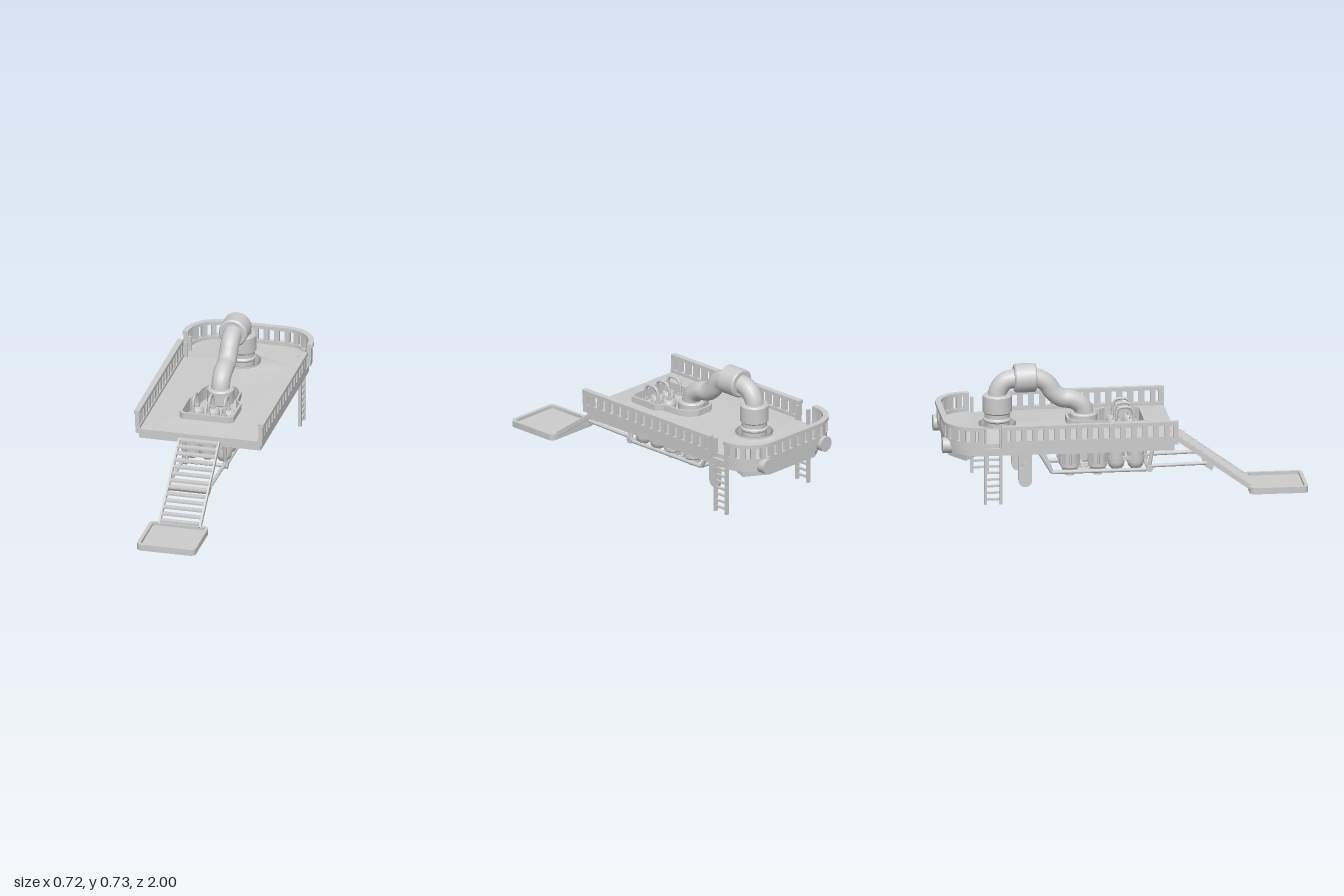
import * as THREE from 'three';
import { toCreasedNormals } from 'three/addons/utils/BufferGeometryUtils.js';

const V = (x, y, z) => new THREE.Vector3(x, y, z);
const grey = new THREE.MeshStandardMaterial({ color: 0xcccccc, side: THREE.DoubleSide });

function add(parent, name, geo, x = 0, y = 0, z = 0) {
  const m = new THREE.Mesh(geo, grey);
  m.name = name;
  m.position.set(x, y, z);
  parent.add(m);
  return m;
}
function group(parent, name) {
  const g = new THREE.Group();
  g.name = name;
  parent.add(g);
  return g;
}
const box = (p, name, w, h, d, x, y, z) => add(p, name, new THREE.BoxGeometry(w, h, d), x, y, z);
const cyl = (p, name, r, h, x, y, z, n = 20) => add(p, name, new THREE.CylinderGeometry(r, r, h, n), x, y, z);
const flat = g => toCreasedNormals(g, 0.6);
const lathe = (pts, n) => new THREE.LatheGeometry(pts.map(p => new THREE.Vector2(...p)), n);
// Thick sleeve with chamfered edges, h is half the height
const collar = (r, h) => flat(lathe([[0.02, -h], [r - 0.008, -h], [r, -h + 0.008], [r, h - 0.008], [r - 0.008, h], [0.02, h]], 20));

// Round bar, or rectangular bar when a height is given, between two points
function bar(p, name, a, b, r, height) {
  const len = a.distanceTo(b);
  const geo = height ? new THREE.BoxGeometry(r * 2, height, len) : new THREE.CylinderGeometry(r, r, len, 10).rotateX(Math.PI / 2);
  const m = add(p, name, geo);
  m.position.copy(a).lerp(b, 0.5);
  m.lookAt(b);
}
const tube = (p, name, pts, r, seg, n) =>
  add(p, name, new THREE.TubeGeometry(new THREE.CatmullRomCurve3(pts), seg, r, n));

// Horizontal plate from a plan shape drawn in (x, z), between two heights
function plateGeo(shape, y0, y1) {
  const g = new THREE.ExtrudeGeometry(shape, { depth: y1 - y0, bevelEnabled: false, curveSegments: 10 });
  g.rotateX(Math.PI / 2).translate(0, y1, 0);
  return toCreasedNormals(g, 0.5);
}

function roundedRect(S, x, z0, z1, r) {
  const s = new S();
  s.moveTo(x, z0 + r).lineTo(x, z1 - r).absarc(x - r, z1 - r, r, 0, Math.PI / 2);
  s.lineTo(-x + r, z1).absarc(-x + r, z1 - r, r, Math.PI / 2, Math.PI);
  s.lineTo(-x, z0 + r).absarc(-x + r, z0 + r, r, Math.PI, Math.PI * 1.5);
  s.lineTo(x - r, z0).absarc(x - r, z0 + r, r, Math.PI * 1.5, Math.PI * 2);
  return s;
}

// Hatch outline: wide at the tanks, narrow around the pipe; grow makes the rim
function hatchShape(S, grow) {
  const half = [[0.125, 0.115], [0.145, 0.095], [0.145, -0.075], [0.115, -0.11], [0.108, -0.215], [0.085, -0.265], [0.045, -0.295]];
  const pts = [...half, ...half.map(([x, z]) => [-x, z]).reverse()];
  return new S().setFromPoints(pts.map(([x, z]) => new THREE.Vector2(x * (1 + grow / 0.14), (z + 0.09) * (1 + grow / 0.2) - 0.09)));
}

// Deck outline with round rear corners and optional notches for the ladders
function deckShape(S, x, front, back, r, notch) {
  const s = new S();
  s.moveTo(-x, front).lineTo(x, front);
  if (notch) s.lineTo(x, -0.69).lineTo(0.32, -0.69).lineTo(0.32, -0.79).lineTo(x, -0.79);
  s.lineTo(x, back + r).absarc(x - r, back + r, r, 0, -Math.PI / 2, true);
  s.lineTo(-x + r, back).absarc(-x + r, back + r, r, -Math.PI / 2, -Math.PI, true);
  if (notch) s.lineTo(-x, -0.79).lineTo(-0.32, -0.79).lineTo(-0.32, -0.69).lineTo(-x, -0.69);
  return s;
}

// Railing along a plan path: base band, cap band and evenly spaced posts
function railing(parent, path, count) {
  const g = group(parent, 'railing');
  const N = 64;
  const at = (t, inset) => {
    const p = path.getPointAt(t), d = path.getTangentAt(t);
    return new THREE.Vector2(p.x + d.y * inset, p.y - d.x * inset);
  };
  const band = (name, y0, y1, a, b) => {
    const ts = Array.from({ length: N + 1 }, (_, i) => i / N);
    const pts = [...ts.map(t => at(t, a)), ...ts.reverse().map(t => at(t, b))];
    add(g, name, plateGeo(new THREE.Shape(pts), y0, y1));
  };
  band('railBase', 0.355, 0.395, 0.003, 0.028);
  band('railCap', 0.46, 0.48, -0.006, 0.025);
  for (let i = 0; i <= count; i++) {
    const t = Math.min(Math.max(i / count, 0.015), 0.985);
    const p = at(t, 0.0125), d = path.getTangentAt(t);
    const post = box(g, 'railPost', 0.023, 0.08, 0.029, p.x, 0.43, p.y);
    post.rotation.y = Math.atan2(d.x, d.y);
  }
}

export function createModel() {
  const root = new THREE.Group();
  root.name = 'platform';

  // Deck, rising gently to the hatch and pipe openings
  const deck = deckShape(THREE.Shape, 0.352, 0.27, -0.98, 0.18, true);
  deck.holes.push(hatchShape(THREE.Path, 0), new THREE.Path().absarc(0, -0.675, 0.1, 0, Math.PI * 2));
  const deckGeo = plateGeo(deck, 0.35, 0.375);
  const pos = deckGeo.attributes.position;
  for (let i = 0; i < pos.count; i++) {
    const x = pos.getX(i), z = pos.getZ(i);
    if (Math.abs(x) < 0.16 && z < 0.2 && z > -0.8 && pos.getY(i) > 0.36) pos.setY(i, 0.393);
  }
  add(root, 'deck', toCreasedNormals(deckGeo, 0.5));

  // Hull: floor, surrounding wall and the sloping rear skirt
  const hull = inset => S => deckShape(S, 0.34 - inset, 0.25 - inset, -0.965 + inset, 0.18 - inset, false);
  add(root, 'hullFloor', plateGeo(hull(0.005)(THREE.Shape), 0.33, 0.351));
  const wall = hull(0)(THREE.Shape);
  wall.holes.push(hull(0.02)(THREE.Path));
  add(root, 'hullWall', plateGeo(wall, 0.314, 0.352));
  const skirt = new THREE.Shape([[-0.32, -0.8], [0.32, -0.8], [0.31, -0.88], [0.18, -0.96], [-0.18, -0.96], [-0.31, -0.88]].map(p => new THREE.Vector2(...p)));
  const skirtGeo = plateGeo(skirt, 0.28, 0.335), sp = skirtGeo.attributes.position;
  for (let i = 0; i < sp.count; i++) {
    if (sp.getY(i) > 0.3) continue;
    sp.setX(i, sp.getX(i) * 0.97);
    if (sp.getZ(i) > -0.82) sp.setY(i, 0.32);
  }
  add(root, 'rearSkirt', toCreasedNormals(skirtGeo, 0.4));
  for (const s of [-1, 1]) cyl(root, 'rearBumper', 0.043, 0.05, s * 0.223, 0.35, -0.975).rotation.x = Math.PI / 2;

  // Railings: two straight sides and one around the rear
  const P = () => new THREE.Path();
  railing(root, P().moveTo(0.356, 0.27).lineTo(0.356, -0.69), 16);
  railing(root, P().moveTo(-0.356, -0.69).lineTo(-0.356, 0.27), 16);
  railing(root, P().moveTo(0.356, -0.79).lineTo(0.356, -0.805).absarc(0.176, -0.805, 0.18, 0, -Math.PI / 2, true)
    .lineTo(-0.176, -0.985).absarc(-0.176, -0.805, 0.18, -Math.PI / 2, -Math.PI, true).lineTo(-0.356, -0.79), 16);

  // Hatch rim
  const rim = hatchShape(THREE.Shape, 0.006);
  rim.holes.push(hatchShape(THREE.Path, -0.006));
  add(root, 'hatchRim', plateGeo(rim, 0.35, 0.428));

  // Big pipe with collars
  const pipe = group(root, 'bigPipe');
  tube(pipe, 'pipe', [[0.28, -0.2], [0.43, -0.2], [0.49, -0.22], [0.522, -0.27], [0.532, -0.325], [0.565, -0.37], [0.62, -0.41], [0.65, -0.47],
    [0.65, -0.57], [0.632, -0.635], [0.58, -0.672], [0.48, -0.675], [0.34, -0.675]].map(([y, z]) => V(0, y, z)), 0.051, 70, 20);
  add(pipe, 'topCollar', collar(0.079, 0.06), 0, 0.65, -0.525).rotation.x = Math.PI / 2;
  add(pipe, 'rearCollar', collar(0.079, 0.052), 0, 0.512, -0.675);
  cyl(pipe, 'rearNeck', 0.069, 0.13, 0, 0.41, -0.675);
  add(pipe, 'rearNeckRing', collar(0.077, 0.012), 0, 0.425, -0.675);
  add(pipe, 'openingRim', lathe([[0.1, -0.04], [0.103, 0.008], [0.095, 0.008], [0.093, -0.04]], 24), 0, 0.395, -0.675);
  cyl(pipe, 'underFlange', 0.085, 0.016, 0, 0.327, -0.675);
  add(pipe, 'frontCollar', collar(0.074, 0.045), 0, 0.405, -0.205);

  // Six gas tanks hanging under the hatch, valve tops and handles inside it
  const tanks = group(root, 'tanks');
  const body = [[0, 0.145], [0.025, 0.151], [0.041, 0.168], [0.046, 0.19], [0.046, 0.3], [0.038, 0.325], [0, 0.335]];
  const cap = [[0.038, 0.34], [0.038, 0.385], [0.03, 0.4], [0.014, 0.402], [0.014, 0.415], [0, 0.415]];
  for (const x of [-0.087, 0, 0.087]) {
    for (const [z, topZ] of [[0.067, 0.055], [-0.038, -0.035]]) {
      add(tanks, 'tank', lathe(body, 16), x, 0, z);
      add(tanks, 'tankTop', flat(lathe(cap, 16)), x, 0, topZ);
      for (const y of [0.215, 0.295]) cyl(tanks, 'tankBand', 0.049, 0.02, x, y, z, 16);
    }
    tube(tanks, 'tankHandle', [[0.37, 0.055], [0.46, 0.055], [0.487, 0.04], [0.487, -0.02], [0.46, -0.035], [0.37, -0.035]].map(([y, z]) => V(x, y, z)), 0.008, 30, 8);
  }
  for (const y of [0.215, 0.295]) box(tanks, 'tankStrap', 0.25, 0.018, 0.13, 0, y, 0.015);

  // Machinery barrels and ducts
  const engine = group(root, 'engine');
  for (const x of [-0.076, 0.076]) for (const z of [-0.138, -0.29]) {
    add(engine, 'barrel', collar(0.05, 0.073), x, 0.233, z);
    cyl(engine, 'barrelCore', 0.042, 0.2, x, 0.24, z);
    for (const y of [0.182, 0.255]) cyl(engine, 'barrelRing', 0.053, 0.012, x, y, z);
    for (let i = 0; i < 10; i++) {
      const a = i * Math.PI / 5;
      cyl(engine, 'barrelRib', 0.006, 0.06, x + 0.05 * Math.cos(a), 0.218, z + 0.05 * Math.sin(a), 6);
    }
    cyl(engine, 'barrelFoot', 0.025, 0.025, x, 0.134, z, 12);
  }
  box(engine, 'engineBlock', 0.07, 0.14, 0.2, 0, 0.26, -0.21);
  bar(engine, 'exhaustDuct', V(0, 0.25, -0.3), V(0, 0.3, -0.5), 0.045, 0.05);
  for (const s of [-1, 1]) bar(engine, 'sideDuct', V(s * 0.07, 0.27, -0.32), V(s * 0.07, 0.29, -0.47), 0.022);

  // Lower frame, wheel and stair braces
  const frame = group(root, 'frame');
  for (const s of [-1, 1]) {
    const x = s * 0.115, pts = [V(x, 0.34, 0.17), V(x, 0.147, 0.135), V(x, 0.147, -0.39), V(x, 0.34, -0.505)];
    for (let i = 0; i < 3; i++) bar(frame, 'frameBar', pts[i], pts[i + 1], 0.011);
    bar(frame, 'stairBrace', V(x, 0.172, 0.45), V(x, 0.166, 0.13), 0.01);
    cyl(frame, 'braceJoint', 0.018, 0.03, x, 0.152, 0.14, 12).rotation.z = Math.PI / 2;
  }
  for (const z of [0.135, -0.39]) bar(frame, 'crossBar', V(-0.115, 0.147, z), V(0.115, 0.147, z), 0.01);
  box(frame, 'stairAxle', 0.23, 0.022, 0.045, 0, 0.15, 0.465).rotation.x = 0.6;
  add(frame, 'wheelRing', new THREE.TorusGeometry(0.06, 0.01, 8, 20).rotateX(Math.PI / 2), 0, 0.142, -0.21);
  for (let i = 0; i < 3; i++) box(frame, 'wheelSpoke', 0.23, 0.012, 0.016, 0, 0.142, -0.21).rotation.y = i * Math.PI / 3;

  // Support legs with round feet and hex bolts
  const legShape = new THREE.Shape();
  legShape.moveTo(0.037, 0.3).lineTo(0.037, 0.122).absarc(0, 0.122, 0.037, 0, -Math.PI, true).lineTo(-0.037, 0.3);
  for (const s of [-1, 1]) {
    const leg = group(root, 'supportLeg');
    const geo = new THREE.ExtrudeGeometry(legShape, { depth: 0.018, bevelEnabled: false }).rotateY(Math.PI / 2);
    add(leg, 'legPlate', flat(geo), s * 0.165 - 0.009, 0, -0.542);
    box(leg, 'legBend', 0.018, 0.06, 0.074, s * 0.148, 0.315, -0.542).rotation.z = s * 0.75;
    cyl(leg, 'legBolt', 0.021, 0.022, s * 0.183, 0.208, -0.542, 6).rotation.z = Math.PI / 2;
  }
  box(root, 'legMount', 0.2, 0.06, 0.13, 0, 0.3, -0.55);

  // Side ladders
  for (const s of [-1, 1]) {
    const ladder = group(root, 'ladder');
    for (const z of [-0.692, -0.775]) box(ladder, 'ladderRail', 0.019, 0.425, 0.014, s * 0.317, 0.248, z);
    for (let i = 0; i < 9; i++) box(ladder, 'ladderRung', 0.012, 0.011, 0.08, s * 0.317, 0.065 + i * 0.037, -0.733);
  }

  // Front stairs
  const stairs = group(root, 'stairs');
  for (const s of [-1, 1]) bar(stairs, 'stringer', V(s * 0.109, 0.343, 0.25), V(s * 0.114, 0.022, 0.695), 0.006, 0.024);
  for (let i = 0; i < 13; i++) {
    const t = i / 12;
    box(stairs, 'step', 0.215, 0.009, 0.034, 0, 0.338 - t * 0.298, 0.27 + t * 0.405);
  }

  // Landing tray
  const landing = group(root, 'landing');
  add(landing, 'landingFloor', plateGeo(roundedRect(THREE.Shape, 0.16, 0.685, 0.996, 0.03), 0, 0.018));
  const edge = roundedRect(THREE.Shape, 0.164, 0.682, 1, 0.03);
  edge.holes.push(roundedRect(THREE.Path, 0.145, 0.701, 0.981, 0.018));
  add(landing, 'landingRim', plateGeo(edge, 0, 0.035));
  return root;
}
